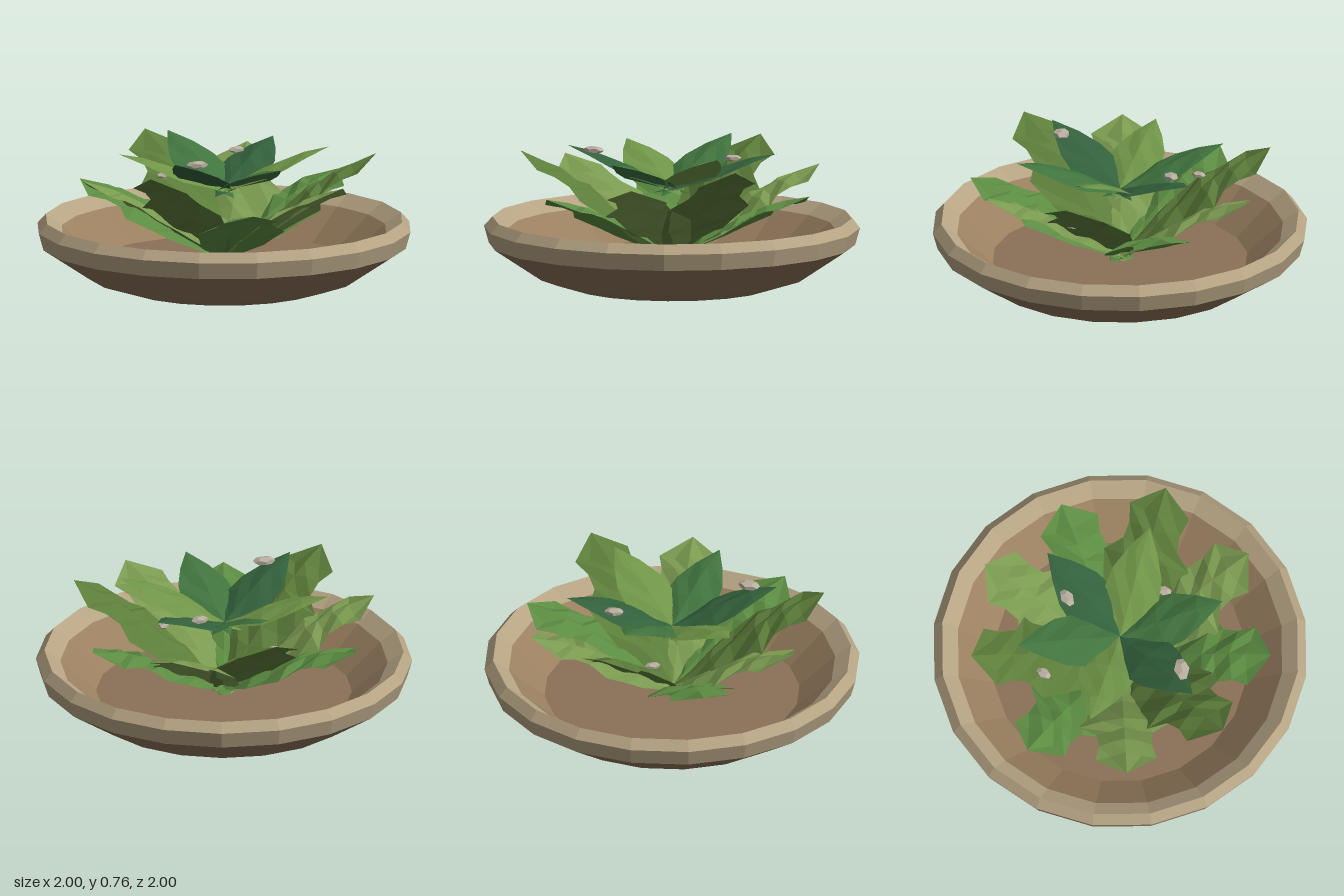
import * as THREE from 'three';

const mat = (color, side = THREE.FrontSide) =>
  new THREE.MeshStandardMaterial({ color, side, flatShading: true });

const SEGMENTS = 20;

// Faceted ring of the bowl, profile given as [radius, height]
function turned(name, profile, color) {
  const points = profile.map(([r, y]) => new THREE.Vector2(r, y));
  const mesh = new THREE.Mesh(new THREE.LatheGeometry(points, SEGMENTS), mat(color));
  mesh.name = name;
  return mesh;
}

// Leaf along +x: rows of [position, half width], folded along a raised midrib
// with pleated halves; a negative position is the stub behind the centre
function leafGeometry(rows, length, baseY, tipY, arch, pleat) {
  const pos = [], index = [];
  const height = (t) =>
    baseY + (tipY - baseY) * t + (t > 0 ? arch * Math.sin(Math.PI * t ** 1.4) : 0);
  rows.forEach(([t, w], i) => {
    const end = i === 0 || i === rows.length - 1;
    for (const side of [-1, -0.5, 0, 0.5, 1]) {
      const s = Math.abs(side);
      const tt = end ? t : t - 0.04 * (1 - s);
      const bump = s === 0.5 ? (i % 2 ? pleat : -pleat) * w : 0;
      pos.push(tt * length, height(tt) - 0.22 * w * s + bump, side * w);
    }
    if (i === 0) return;
    for (let k = 0; k < 4; k++) {
      const a = (i - 1) * 5 + k, b = a + 1, c = a + 5, d = a + 6;
      index.push(a, b, c, b, d, c);
    }
  });
  const g = new THREE.BufferGeometry();
  g.setAttribute('position', new THREE.Float32BufferAttribute(pos, 3));
  g.setIndex(index);
  const flat = g.toNonIndexed();
  flat.computeVertexNormals();
  return flat;
}

// Whorl of leaves; heights and tints repeat round the centre
function whorl(name, count, startDegrees, tips, colors, makeGeometry) {
  const group = new THREE.Group();
  group.name = name;
  const geometries = tips.map(makeGeometry);
  const materials = colors.map((c) => mat(c, THREE.DoubleSide));
  for (let i = 0; i < count; i++) {
    const leaf = new THREE.Mesh(geometries[i % tips.length], materials[i % colors.length]);
    leaf.name = name + 'Leaf';
    leaf.rotation.y = -THREE.MathUtils.degToRad(startDegrees + (i * 360) / count);
    group.add(leaf);
  }
  return group;
}

export function createModel() {
  const model = new THREE.Group();
  model.name = 'plantedBowl';

  // Bowl
  model.add(turned('bowlOutside', [[0, 0], [0.53, 0], [0.72, 0.06], [0.975, 0.23]], 0x8c7459));
  model.add(turned('bowlRim', [[0.975, 0.23], [1, 0.32], [0.955, 0.37], [0.87, 0.31]], 0xb5a383));
  model.add(turned('bowlInside', [[0.87, 0.31], [0.68, 0.14]], 0x9a8060));
  model.add(turned('soil', [[0.68, 0.14], [0, 0.14]], 0x8b7056));

  // Lower whorl: broad lobed leaves
  const lobed = [[-0.12, 0], [0, 0.06], [0.14, 0.1], [0.29, 0.17], [0.42, 0.2], [0.58, 0.235],
    [0.66, 0.15], [0.76, 0.14], [0.87, 0.165], [1, 0]];
  model.add(whorl('lower', 9, -93, [0.72, 0.63, 0.535], [0x5c7d3a, 0x7b9a50, 0x5c8c42],
    (tip) => leafGeometry(lobed, 0.81, 0.17, tip, 0.05, 0.1)));

  // Upper whorl: spear-shaped leaves
  const spear = [[-0.18, 0], [0, 0.05], [0.18, 0.09], [0.4, 0.15], [0.58, 0.135],
    [0.78, 0.08], [1, 0]];
  model.add(whorl('upper', 6, -94, [0.755, 0.72], [0x41743f, 0x33613c, 0x6f9547],
    (tip) => leafGeometry(spear, 0.56, 0.535, tip, 0.025, 0.05)));

  // Pebbles resting on the leaves: [x, y, z, radius]
  const pebbleGeometry = new THREE.DodecahedronGeometry(1);
  const pebbleMaterial = mat(0xb8aea0);
  [[-0.31, 0.737, 0.28, 0.062], [0.21, 0.68, -0.25, 0.052],
    [-0.14, 0.54, -0.435, 0.042], [0.25, 0.435, 0.28, 0.04]].forEach(([x, y, z, r], i) => {
    const pebble = new THREE.Mesh(pebbleGeometry, pebbleMaterial);
    pebble.name = 'pebble';
    pebble.position.set(x, y, z);
    pebble.scale.set(r, r * 0.34, r * 0.72);
    pebble.rotation.y = i * 0.4;
    model.add(pebble);
  });

  return model;
}
